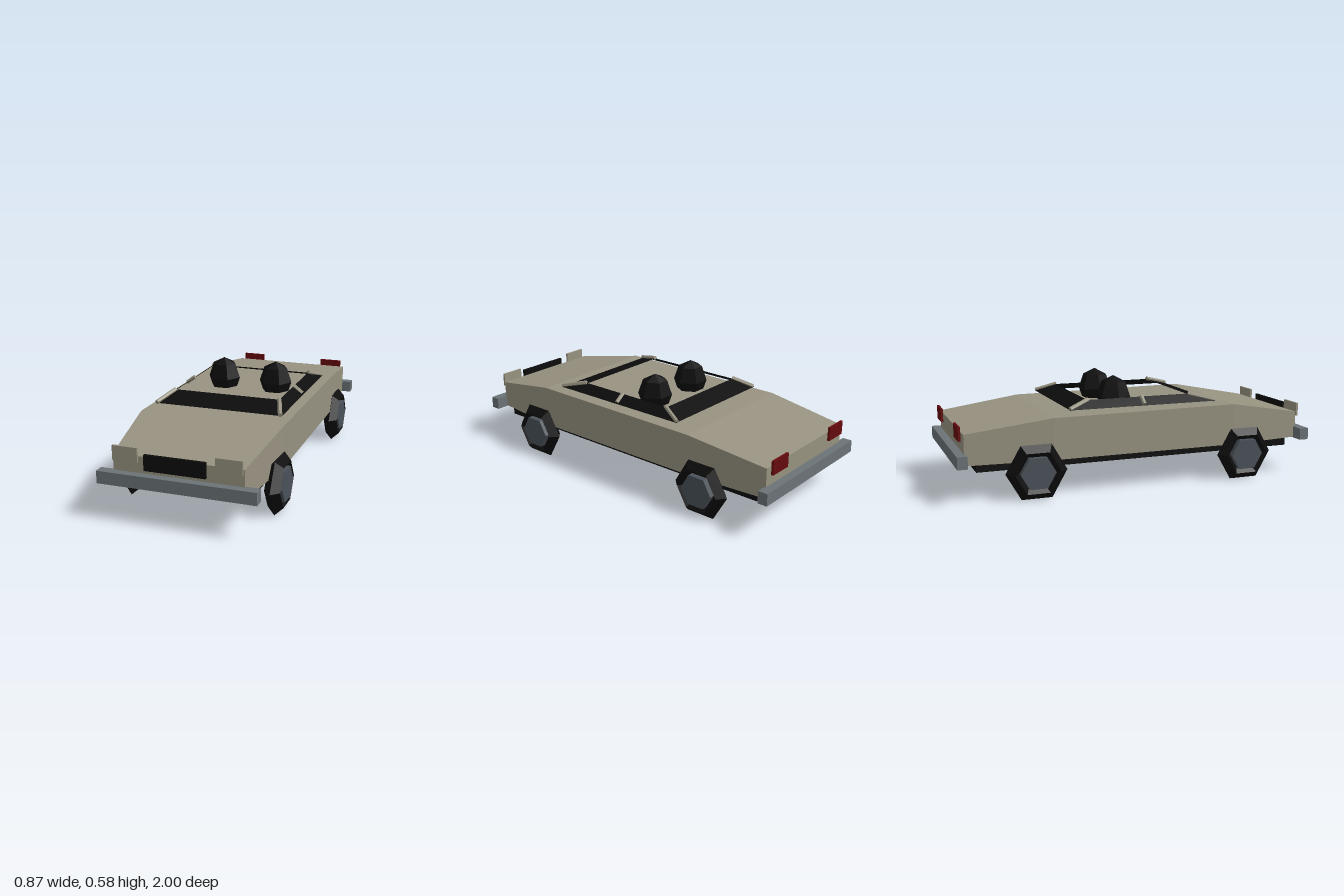
import * as THREE from 'three';

const mat = (name, color, side = THREE.FrontSide) => {
  const m = new THREE.MeshStandardMaterial({ color, flatShading: true, side });
  m.name = name;
  return m;
};

// Joins rings of [x, y, z] corners with flat quads, optionally closing both ends
function loft(rings, caps) {
  const pos = [];
  const quad = (a, b, c, d) => pos.push(...a, ...b, ...c, ...a, ...c, ...d);
  for (let i = 0; i < rings.length - 1; i++) {
    const p = rings[i], q = rings[i + 1];
    for (let j = 0; j < 4; j++) {
      const k = (j + 1) % 4;
      quad(p[j], p[k], q[k], q[j]);
    }
  }
  if (caps) {
    const [a, b, c, d] = rings[0];
    quad(d, c, b, a);
    quad(...rings[rings.length - 1]);
  }
  const g = new THREE.BufferGeometry();
  g.setAttribute('position', new THREE.Float32BufferAttribute(pos, 3));
  g.computeVertexNormals();
  return g;
}

export function createModel() {
  const car = new THREE.Group();
  car.name = 'car';
  const paint = mat('body paint', 0x979280);
  const black = mat('black', 0x0c0c0c, THREE.DoubleSide);
  const steel = mat('bumper grey', 0x6b7377);
  const hubGrey = mat('hub grey', 0x4a5159);
  const red = mat('tail light red', 0x660a0c);

  const add = (name, geometry, material, x = 0, y = 0, z = 0) => {
    const m = new THREE.Mesh(geometry, material);
    m.name = name;
    m.position.set(x, y, z);
    car.add(m);
    return m;
  };
  const box = (name, material, w, h, d, x, y, z) =>
    add(name, new THREE.BoxGeometry(w, h, d), material, x, y, z);

  // Wedge body: stations of z, half width, top height, from back to front
  const stations = [[-0.955, 0.355, 0.353], [-0.5, 0.39, 0.412], [0.53, 0.39, 0.419], [0.957, 0.337, 0.34]];
  add('body', loft(stations.map(([z, w, t]) =>
    [[-w, 0.193, z], [w, 0.193, z], [w, t, z], [-w, t, z]]), true), paint);
  box('underbody', black, 0.66, 0.06, 1.79, 0, 0.178, 0.003);

  // Sloping window band, open in the middle
  const band = (w, y, front, back) => [[-w, y, front], [w, y, front], [w, y, back], [-w, y, back]];
  add('windows', loft([band(0.352, 0.438, 0.433, -0.4), band(0.292, 0.477, 0.285, -0.288)], false), black);

  // Pillars lying on the window band
  const up = new THREE.Vector3(0, 1, 0);
  for (const s of [-1, 1]) {
    for (const [z0, z1] of [[0.435, 0.292], [0.018, 0.018], [-0.398, -0.285]]) {
      const a = new THREE.Vector3(s * 0.343, 0.443, z0), b = new THREE.Vector3(s * 0.295, 0.48, z1);
      const d = b.clone().sub(a);
      const p = add('pillar', new THREE.CylinderGeometry(0.012, 0.012, d.length(), 6), paint);
      p.position.copy(a).add(b).multiplyScalar(0.5);
      p.quaternion.setFromUnitVectors(up, d.normalize());
    }

    // Occupant heads
    add('head', new THREE.SphereGeometry(0.094, 6, 4), black, s * 0.155, 0.467, -0.092).scale.y = 1.21;

    // Lamps
    box('headlight', paint, 0.132, 0.074, 0.012, s * 0.265, 0.351, 0.971);
    box('tailLight', red, 0.132, 0.074, 0.012, s * 0.265, 0.351, -0.971);

    // Wheels: six-sided tyre with a six-sided hub
    for (const z of [-0.595, 0.595]) {
      add('tyre', new THREE.TorusGeometry(0.122, 0.041, 4, 6).rotateY(Math.PI / 2), black, s * 0.392, 0.141, z);
      add('hub', new THREE.CylinderGeometry(0.093, 0.093, 0.088, 6).rotateZ(Math.PI / 2), hubGrey, s * 0.392, 0.141, z);
    }

    // Front and rear bumpers
    box(s > 0 ? 'frontBumper' : 'rearBumper', steel, 0.82, 0.065, 0.053, 0, 0.222, s * 0.9735);
  }
  box('grille', black, 0.315, 0.08, 0.016, 0, 0.325, 0.988);

  return car;
}
